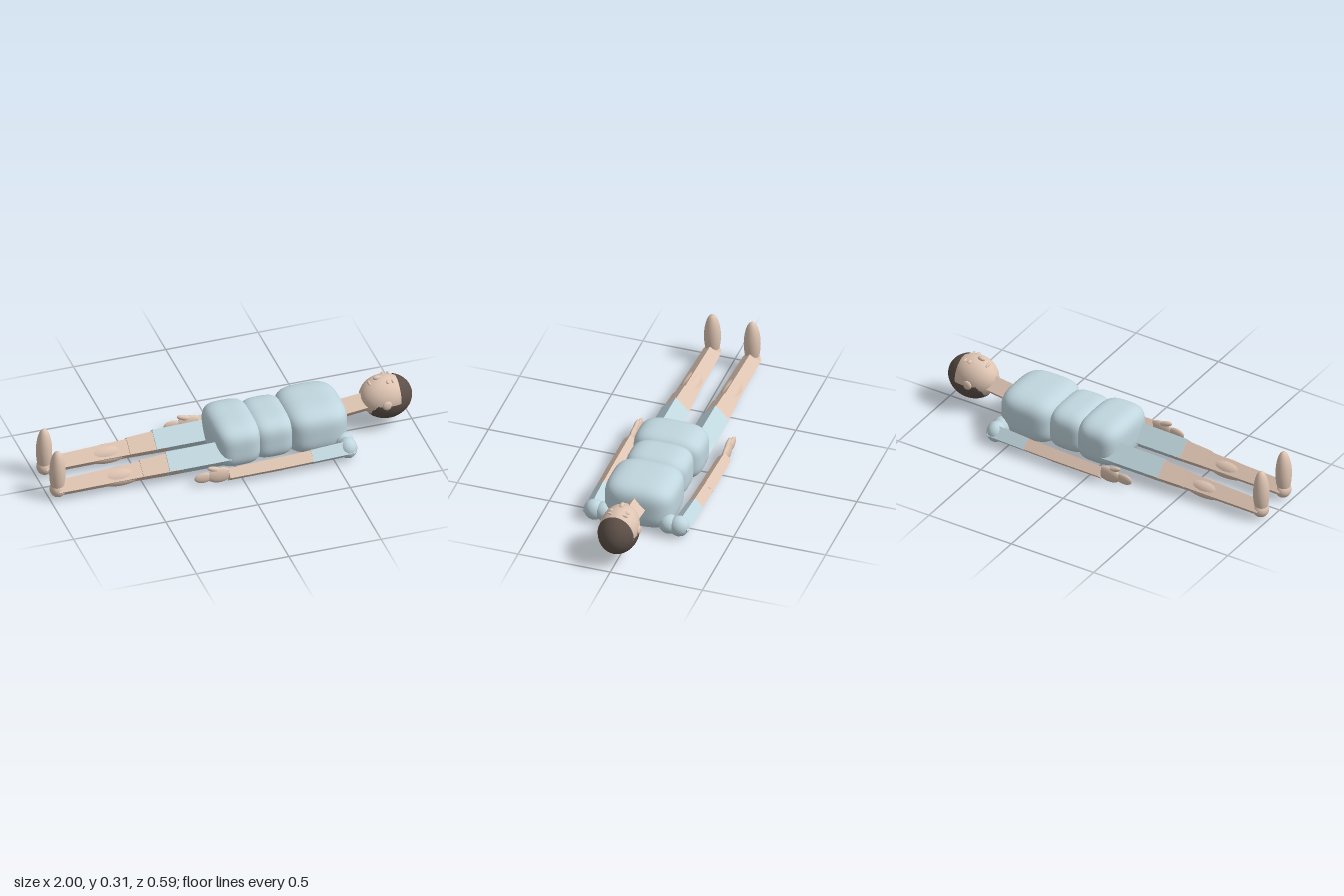
import * as THREE from 'three';

const paint = (color, flat = false) => new THREE.MeshStandardMaterial({ color, flatShading: flat });
const SKIN = 0xdec4b2, CLOTH = 0xc0d6de, HAIR = 0x5c4f47;
const skin = paint(SKIN), cloth = paint(CLOTH);
const skinFlat = paint(SKIN, true), clothFlat = paint(CLOTH, true);
const hairMat = new THREE.MeshStandardMaterial({ color: HAIR, side: THREE.DoubleSide });

function add(parent, name, geometry, material) {
  const mesh = new THREE.Mesh(geometry, material);
  mesh.name = name;
  parent.add(mesh);
  return mesh;
}

// Ellipsoid with centre c and radii r
function ball(parent, name, c, r, material, segs = 20) {
  const mesh = add(parent, name, new THREE.SphereGeometry(1, segs, Math.round(segs * 0.7)), material);
  mesh.position.set(...c);
  mesh.scale.set(...r);
  return mesh;
}

// Four-sided tapered limb from a to b, with its ridges up, down and to the sides
function limb(parent, name, a, b, ra, rb, material) {
  const start = new THREE.Vector3(...a), end = new THREE.Vector3(...b);
  const dir = end.clone().sub(start);
  const mesh = add(parent, name, new THREE.CylinderGeometry(rb, ra, dir.length(), 4), material);
  mesh.position.copy(start).add(end).multiplyScalar(0.5);
  mesh.quaternion.setFromUnitVectors(new THREE.Vector3(0, 1, 0), dir.normalize());
  return mesh;
}

// Padded block: a sphere pushed out towards its bounding box
function cushion(parent, name, c, r, n) {
  const g = new THREE.SphereGeometry(1, 48, 36);
  const p = g.attributes.position;
  const v = new THREE.Vector3();
  for (let i = 0; i < p.count; i++) {
    v.fromBufferAttribute(p, i);
    const k = (Math.abs(v.x) ** n + Math.abs(v.y) ** n + Math.abs(v.z) ** n) ** (-1 / n);
    p.setXYZ(i, v.x * k * r[0], v.y * k * r[1], v.z * k * r[2]);
  }
  g.computeVertexNormals();
  add(parent, name, g, cloth).position.set(...c);
}

function buildHead() {
  const head = new THREE.Group();
  head.name = 'head';
  limb(head, 'neck', [0.56, 0.14, 0], [0.8, 0.168, 0], 0.06, 0.06, skinFlat);
  ball(head, 'skull', [0.845, 0.185, 0], [0.13, 0.112, 0.1], skin, 32);

  // Hair: a full cap over the crown, then a half shell down the back of the head
  const pieces = [
    ['hairCrown', 0, Math.PI * 2, 0, 1.19],
    ['hairBack', Math.PI / 2, Math.PI, 1.19, 1.2],
  ];
  for (const [name, phi, phiLength, theta, thetaLength] of pieces) {
    const g = new THREE.SphereGeometry(1, 32, 20, phi, phiLength, theta, thetaLength);
    g.rotateZ(-Math.PI / 2);
    // the half shell must hang below the head
    if (name === 'hairBack') {
      g.computeBoundingBox();
      if (g.boundingBox.max.y > 0.5) g.rotateX(Math.PI);
      else if (g.boundingBox.max.z < 0.5) g.rotateX(-Math.PI / 2);
      else if (g.boundingBox.min.z > -0.5) g.rotateX(Math.PI / 2);
    }
    const mesh = add(head, name, g, hairMat);
    mesh.position.set(0.862, 0.174, 0);
    mesh.scale.set(0.135, 0.12, 0.106);
  }

  // Face, looking upwards
  ball(head, 'nose', [0.81, 0.295, 0], [0.022, 0.013, 0.013], skin, 14);
  ball(head, 'mouth', [0.768, 0.272, 0], [0.009, 0.008, 0.024], skin, 14);
  for (const s of [1, -1]) {
    ball(head, 'eye', [0.855, 0.285, s * 0.04], [0.01, 0.007, 0.017], skin, 14);
    ball(head, 'eyebrow', [0.883, 0.284, s * 0.04], [0.006, 0.006, 0.018], skin, 14);
    ball(head, 'ear', [0.835, 0.178, s * 0.099], [0.026, 0.026, 0.011], skin, 14);
  }
  return head;
}

function buildArm(s) {
  const arm = new THREE.Group();
  arm.name = s > 0 ? 'rightArm' : 'leftArm';
  ball(arm, 'innerShoulder', [0.575, 0.061, s * 0.175], [0.05, 0.052, 0.055], cloth);
  ball(arm, 'outerShoulder', [0.575, 0.06, s * 0.23], [0.05, 0.056, 0.055], cloth);
  limb(arm, 'sleeve', [0.6, 0.058, s * 0.236], [0.37, 0.055, s * 0.246], 0.05, 0.046, clothFlat);
  limb(arm, 'upperArm', [0.38, 0.055, s * 0.246], [0.22, 0.052, s * 0.25], 0.044, 0.042, skinFlat);
  limb(arm, 'forearm', [0.22, 0.052, s * 0.25], [-0.08, 0.049, s * 0.254], 0.043, 0.038, skinFlat);

  // Hand lying on its edge
  ball(arm, 'palm', [-0.125, 0.055, s * 0.252], [0.07, 0.044, 0.018], skin);
  ball(arm, 'fingers', [-0.212, 0.055, s * 0.252], [0.05, 0.03, 0.012], skin);
  ball(arm, 'thumb', [-0.148, 0.091, s * 0.25], [0.045, 0.015, 0.013], skin).rotation.z = -0.35;
  return arm;
}

function buildLeg(s) {
  const leg = new THREE.Group();
  leg.name = s > 0 ? 'rightLeg' : 'leftLeg';
  const z = s * 0.108;
  limb(leg, 'shortsLeg', [0.02, 0.084, z], [-0.37, 0.081, z], 0.078, 0.075, clothFlat);
  limb(leg, 'thigh', [-0.3, 0.079, z], [-0.51, 0.073, z], 0.074, 0.064, skinFlat);
  limb(leg, 'shin', [-0.48, 0.07, z], [-0.96, 0.058, z], 0.06, 0.05, skinFlat);
  ball(leg, 'calf', [-0.62, 0.062, z], [0.13, 0.052, 0.05], skin, 24);
  ball(leg, 'heel', [-0.955, 0.054, z], [0.042, 0.044, 0.045], skin);
  ball(leg, 'foot', [-0.957, 0.152, z], [0.042, 0.134, 0.044], skin);
  return leg;
}

export function createModel() {
  const model = new THREE.Group();
  model.name = 'recliningFigure';

  // Padded torso
  cushion(model, 'chest', [0.45, 0.131, 0], [0.17, 0.13, 0.19], 3.6);
  cushion(model, 'waist', [0.21, 0.124, 0], [0.12, 0.118, 0.168], 3.6);
  cushion(model, 'pelvis', [0.02, 0.126, 0], [0.128, 0.124, 0.188], 3.6);

  model.add(buildHead());
  for (const s of [1, -1]) model.add(buildArm(s), buildLeg(s));
  return model;
}
